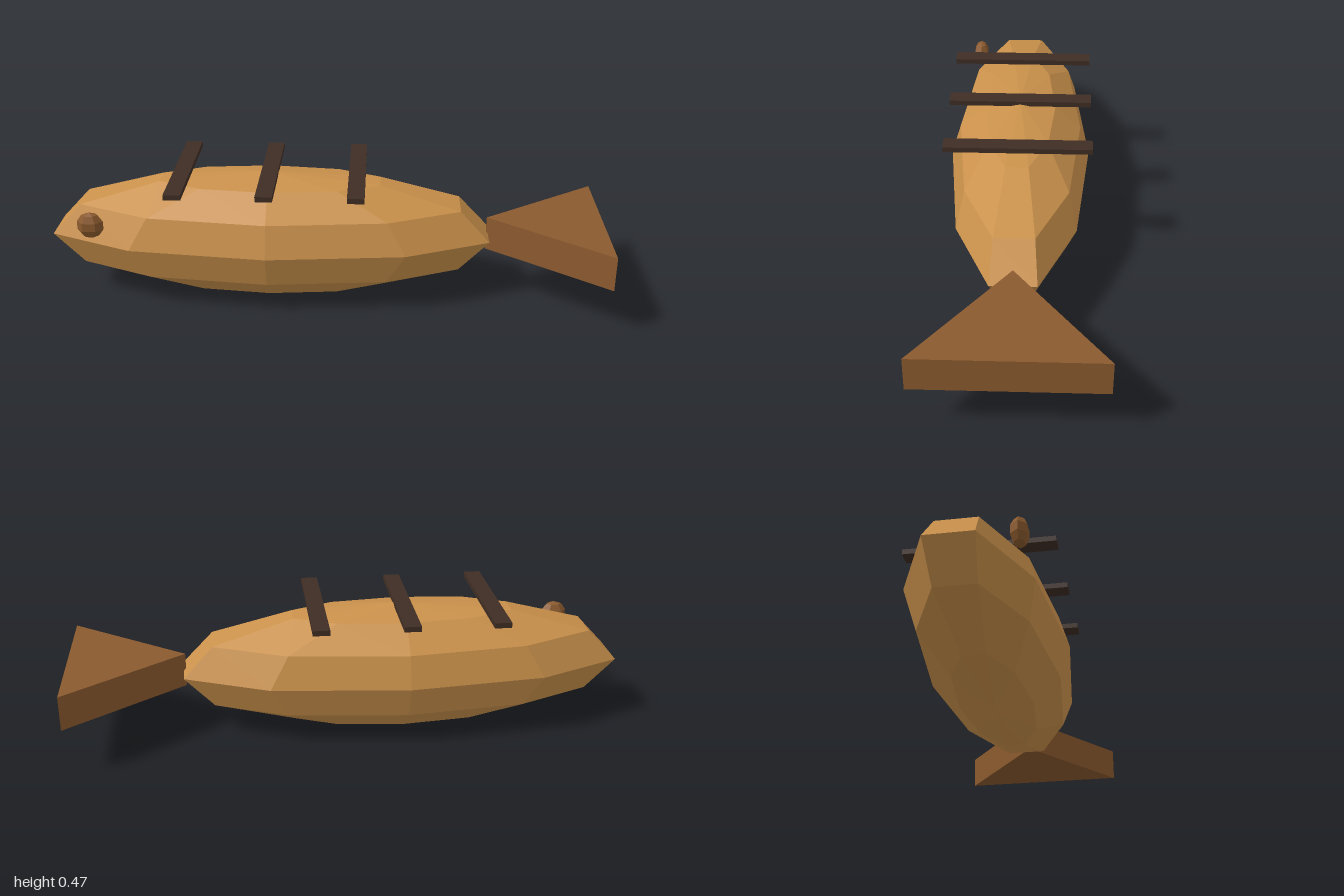
import * as THREE from 'three';

const paint = (name, color) => {
  const m = new THREE.MeshStandardMaterial({ color, flatShading: true });
  m.name = name;
  return m;
};

export function createModel() {
  const group = new THREE.Group();
  const tan = paint('tan wood', 0xca914b);
  const brown = paint('brown wood', 0x8b5a2e);
  const dark = paint('dark wood', 0x3f2d24);

  const add = (name, geometry, material, x, y, z) => {
    const mesh = new THREE.Mesh(geometry, material);
    mesh.name = name;
    mesh.position.set(x, y, z);
    group.add(mesh);
    return mesh;
  };

  // Faceted long body, turned so that flat facets close the nose and the tail end
  const body = new THREE.SphereGeometry(1, 10, 6).rotateY(Math.PI / 2).scale(0.836, 0.231, 0.261);
  add('body', body, tan, -0.205, 0.231, 0);

  // Triangular tail fin, apex towards the body
  const tail = new THREE.CylinderGeometry(1, 1, 0.125, 3).rotateY(-Math.PI / 2).scale(0.278, 1, 0.362);
  add('tailFin', tail, brown, 0.861, 0.232, 0);

  // Slats across the back
  for (const x of [-0.52, -0.205, 0.11]) {
    add('backSlat', new THREE.BoxGeometry(0.06, 0.019, 0.524), dark, x, 0.4625, 0);
  }

  // Single flattened eye on the front side
  add('eye', new THREE.SphereGeometry(0.049, 6, 5).scale(1, 1, 0.65), brown, -0.832, 0.317, 0.184);

  return group;
}
